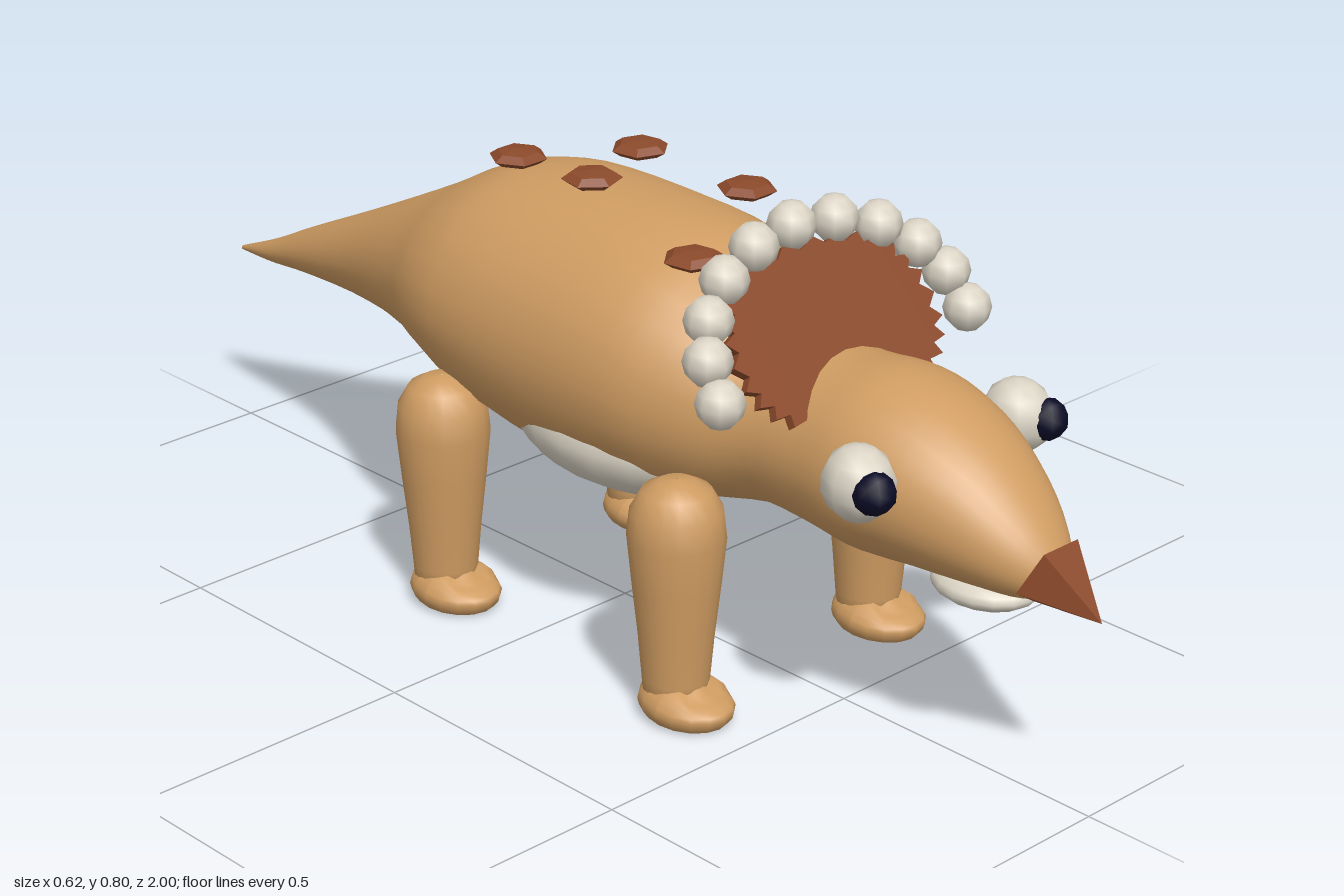
import * as THREE from 'three';

const mat = (name, color) => Object.assign(new THREE.MeshStandardMaterial({ color }), { name });

// Smooth skin over elliptical sections: [z, top y, bottom y, half width]
function loftBody(sections, steps, sides) {
  const track = (f) => new THREE.CatmullRomCurve3(sections.map(f), false, 'centripetal');
  const spine = track(([z, t, b, w]) => new THREE.Vector3((t + b) / 2, (t - b) / 2, z));
  const girth = track(([z, t, b, w]) => new THREE.Vector3(w, 0, z));
  const pos = [], idx = [];
  for (let i = 0; i <= steps; i++) {
    const s = spine.getPoint(i / steps), w = girth.getPoint(i / steps).x;
    for (let j = 0; j < sides; j++) {
      const a = (j / sides) * Math.PI * 2;
      pos.push(w * Math.cos(a), s.x + s.y * Math.sin(a), s.z);
      if (i < steps) {
        const p = i * sides + j, q = i * sides + ((j + 1) % sides);
        idx.push(p, q, p + sides, q, q + sides, p + sides);
      }
    }
  }
  const g = new THREE.BufferGeometry();
  g.setAttribute('position', new THREE.Float32BufferAttribute(pos, 3));
  g.setIndex(idx);
  g.computeVertexNormals();
  return g;
}

export function createModel() {
  const model = new THREE.Group();
  model.name = 'hornedDinosaur';
  const tan = mat('tanSkin', 0xcf9c62);
  const brown = mat('brownHorn', 0x8b4a2b);
  const ivory = mat('ivory', 0xdcd5c6);
  const dark = mat('darkPupil', 0x0a0a26);

  const add = (name, geo, material, x = 0, y = 0, z = 0, parent = model) => {
    const m = new THREE.Mesh(geo, material);
    m.name = name;
    m.position.set(x, y, z);
    parent.add(m);
    return m;
  };
  const ellipsoid = (rx, ry, rz, w = 24, h = 16) => new THREE.SphereGeometry(1, w, h).scale(rx, ry, rz);

  // Tail, torso, neck and head in one skin
  add('body', loftBody([
    [-1, 0.338, 0.33, 0.004],
    [-0.9, 0.38, 0.335, 0.026],
    [-0.8, 0.43, 0.345, 0.045],
    [-0.6, 0.525, 0.355, 0.09],
    [-0.4, 0.625, 0.352, 0.168],
    [-0.3, 0.68, 0.33, 0.215],
    [-0.2, 0.715, 0.3, 0.242],
    [0, 0.727, 0.272, 0.252],
    [0.2, 0.712, 0.282, 0.24],
    [0.3, 0.67, 0.3, 0.205],
    [0.4, 0.61, 0.32, 0.155],
    [0.5, 0.598, 0.318, 0.152],
    [0.6, 0.606, 0.31, 0.16],
    [0.7, 0.585, 0.318, 0.145],
    [0.8, 0.53, 0.322, 0.112],
    [0.88, 0.455, 0.328, 0.07],
    [0.92, 0.4, 0.345, 0.03],
    [0.93, 0.373, 0.367, 0.003],
  ], 60, 28), tan);

  add('belly', ellipsoid(0.228, 0.12, 0.26), ivory, 0, 0.38, 0.09);
  add('lowerJaw', ellipsoid(0.074, 0.03, 0.09, 16, 10), ivory, 0, 0.315, 0.78);

  // Beak: low cone tipped forward and down
  const beak = add('beak', new THREE.ConeGeometry(0.064, 0.115, 5).toNonIndexed(), brown, 0, 0.352, 0.952);
  beak.geometry.computeVertexNormals();
  beak.quaternion.setFromUnitVectors(new THREE.Vector3(0, 1, 0), new THREE.Vector3(0, -0.41, 0.91).normalize());

  // Legs: rounded taper with a flat-soled foot pointing forward
  const legProfile = [[0.001, 0.015], [0.05, 0.02], [0.054, 0.07], [0.06, 0.14], [0.07, 0.23],
    [0.078, 0.31], [0.073, 0.355], [0.055, 0.387], [0.028, 0.402], [0.001, 0.405]];
  const legGeo = new THREE.LatheGeometry(legProfile.map(([r, y]) => new THREE.Vector2(r, y)), 18);
  const footGeo = ellipsoid(0.068, 0.042, 0.085, 16, 12);
  const fp = footGeo.attributes.position;
  for (let i = 0; i < fp.count; i++) {
    const z = fp.getZ(i), y = fp.getY(i);
    fp.setY(i, y < 0 ? Math.max(y, -0.026) : y * (z > 0.03 ? 0.6 : 1));
  }
  footGeo.computeVertexNormals();

  for (const side of [1, -1]) {
    const label = side > 0 ? 'left' : 'right';
    for (const [place, z] of [['Front', 0.345], ['Rear', -0.2]]) {
      const leg = new THREE.Group();
      leg.name = label + place + 'Leg';
      leg.position.set(side * 0.218, 0, z);
      model.add(leg);
      add('limb', legGeo, tan, 0, 0, 0, leg);
      add('foot', footGeo, tan, 0, 0.032, 0.024, leg);
    }
    add(label + 'Eye', ellipsoid(0.055, 0.06, 0.06, 9, 7), ivory, side * 0.175, 0.5, 0.68);
    add(label + 'Pupil', new THREE.IcosahedronGeometry(0.034, 1), dark, side * 0.19, 0.503, 0.725);
  }

  // Neck frill: leaning plate with a toothed rim
  const rim = [], teeth = 30, lean = Math.atan(0.72);
  for (let i = 0; i < teeth * 2; i++) {
    const a = (i / (teeth * 2)) * Math.PI * 2, k = i % 2 ? 0.93 : 1.03;
    const bulge = (v) => Math.sign(v) * Math.abs(v) ** 0.85;
    rim.push(new THREE.Vector2(0.212 * k * bulge(Math.cos(a)), 0.142 * k * bulge(Math.sin(a))));
  }
  const frillGeo = new THREE.ExtrudeGeometry(new THREE.Shape(rim), { depth: 0.016, bevelEnabled: false });
  const frill = add('frill', frillGeo, brown, 0, 0.616, 0.452);
  frill.rotation.x = -lean;

  // Beads around the frill
  const beadGeo = ellipsoid(0.039, 0.039, 0.039, 8, 6);
  const beads = [[0, 0.767], [0.087, 0.757], [0.167, 0.731], [0.227, 0.691], [0.26, 0.645], [0.27, 0.592]];
  beads.forEach(([x, y], i) => {
    for (const side of i ? [1, -1] : [1]) {
      add('frillBead', beadGeo, ivory, side * x, y, 0.49 - (y - 0.59) * 0.7);
    }
  });

  // Flat scutes along the back
  const scuteGeo = new THREE.SphereGeometry(1, 6, 4).scale(0.049, 0.014, 0.049).toNonIndexed();
  scuteGeo.computeVertexNormals();
  [[-0.025, 0.724, -0.225], [0.125, 0.735, -0.097], [-0.078, 0.764, 0.007],
    [0.1, 0.746, 0.172], [-0.115, 0.716, 0.272]].forEach(([x, y, z], i) => {
    add('backScute', scuteGeo, brown, x, y, z).rotation.y = i * 0.7;
  });

  return model;
}
